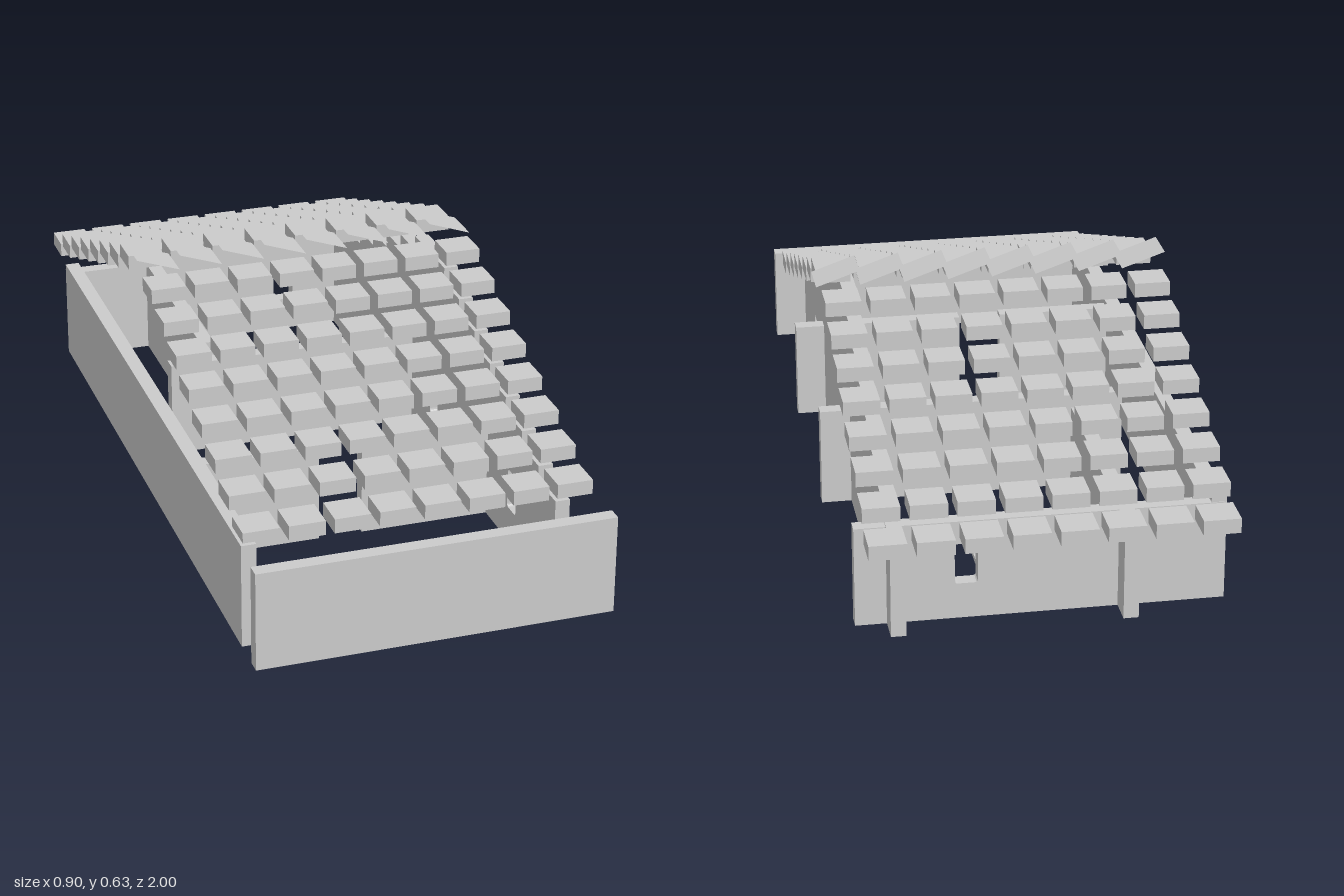
import * as THREE from 'three';

const T = 0.037;        // wall thickness
const STEP = 0.1115;    // spacing of roof tiles
const BASE = 0.013;     // underside of the walls
const EAVE = 0.267;     // top of the low walls

const mat = new THREE.MeshStandardMaterial({ color: 0xcccccc, flatShading: true });
const thinMat = new THREE.MeshStandardMaterial({ color: 0xcccccc, flatShading: true, side: THREE.DoubleSide });

// Box given by its minimum and maximum on each axis
function block(name, x0, x1, y0, y1, z0, z1) {
  const mesh = new THREE.Mesh(new THREE.BoxGeometry(x1 - x0, y1 - y0, z1 - z0), mat);
  mesh.position.set((x0 + x1) / 2, (y0 + y1) / 2, (z0 + z1) / 2);
  mesh.name = name;
  return mesh;
}

// Window opening with slightly rounded corners, centred on u
function windowHole(u) {
  const x0 = u - 0.028, x1 = u + 0.028, y0 = 0.104, y1 = 0.208, r = 0.008;
  const h = new THREE.Path();
  h.moveTo(x0 + r, y0);
  h.lineTo(x1 - r, y0);
  h.quadraticCurveTo(x1, y0, x1, y0 + r);
  h.lineTo(x1, y1 - r);
  h.quadraticCurveTo(x1, y1, x1 - r, y1);
  h.lineTo(x0 + r, y1);
  h.quadraticCurveTo(x0, y1, x0, y1 - r);
  h.lineTo(x0, y0 + r);
  h.quadraticCurveTo(x0, y0, x0 + r, y0);
  return h;
}

function extrudeWall(name, points, windows) {
  const shape = new THREE.Shape(points.map(([u, y]) => new THREE.Vector2(u, y)));
  shape.holes = windows.map(windowHole);
  const geo = new THREE.ExtrudeGeometry(shape, { depth: T, bevelEnabled: false, curveSegments: 3 });
  const mesh = new THREE.Mesh(geo, mat);
  mesh.name = name;
  return mesh;
}

// Stepped gable, drawn in (-z, y) and turned to face +x
function gableWall() {
  const pts = [[-0.887, BASE], [0.897, BASE]];
  for (let k = 0; k < 7; k++) {
    const y = 0.27 + 0.0403 * k;
    pts.push([0.897 - STEP * k, y], [0.897 - STEP * (k + 1), y]);
  }
  for (let k = 7; k >= 0; k--) {
    const y = 0.27 + 0.0403 * k;
    if (k === 7) pts.push([0.1165, y]);
    pts.push([-0.887 + STEP * k, y]);
    if (k > 0) pts.push([-0.887 + STEP * k, y - 0.0403]);
  }
  const wall = extrudeWall('gableWall', pts, [-0.611, -0.05]);
  wall.rotation.y = Math.PI / 2;
  wall.position.x = 0.334;
  return wall;
}

function walls() {
  const g = new THREE.Group();
  g.name = 'walls';
  g.add(gableWall());
  g.add(block('frontWall', -0.447, 0.447, BASE, EAVE, 0.963, 1));
  g.add(block('sideWall', -0.447, -0.41, BASE, 0.281, -0.826, 0.887));
  const back = extrudeWall('backWall',
    [[-0.447, BASE], [0.447, BASE], [0.447, EAVE], [-0.447, EAVE]], [0.18]);
  back.position.z = -0.828;
  g.add(back);
  // Room dividers, with doorways between them
  g.add(block('frontDividerA', -0.41, -0.112, BASE, EAVE, 0.404, 0.441));
  g.add(block('frontDividerB', 0, 0.447, BASE, EAVE, 0.404, 0.441));
  g.add(block('middleDivider', -0.335, 0.447, BASE, EAVE, -0.158, -0.121));
  g.add(block('longDivider', -0.223, -0.186, BASE, EAVE, -0.897, -0.235));
  return g;
}

function roof() {
  const g = new THREE.Group();
  g.name = 'roof';
  const tile = new THREE.BoxGeometry(0.09, 0.037, 0.088);
  const ridge = new THREE.PlaneGeometry(0.117, 0.108).rotateX(-Math.PI / 2);
  for (let i = 0; i < 8; i++) {
    const x = -0.394 + 0.1118 * i;
    // Eight rows climbing each slope
    for (let k = 0; k < 8; k++) {
      for (const [name, z] of [['frontTile', 0.832 - STEP * k], ['backTile', -0.956 + STEP * k]]) {
        const m = new THREE.Mesh(tile, mat);
        m.name = name;
        m.position.set(x, 0.2885 + 0.0403 * k, z);
        g.add(m);
      }
    }
    // Thin tilted slab on the ridge
    const slab = new THREE.Mesh(ridge, thinMat);
    slab.name = 'ridgeSlab';
    slab.position.set(-0.393 + 0.1118 * i, 0.61, -0.061);
    slab.rotation.z = -Math.atan2(0.038, 0.11);
    g.add(slab);
  }
  return g;
}

export function createModel() {
  const model = new THREE.Group();
  model.name = 'house';
  model.add(walls(), roof());
  // Low floor pads
  model.add(block('frontFloorPad', 0, 0.111, 0, BASE, 0.665, 0.887));
  model.add(block('backFloorPadA', -0.111, 0, 0, BASE, -0.565, -0.455));
  model.add(block('backFloorPadB', 0, 0.111, 0, BASE, -0.565, -0.455));
  return model;
}
